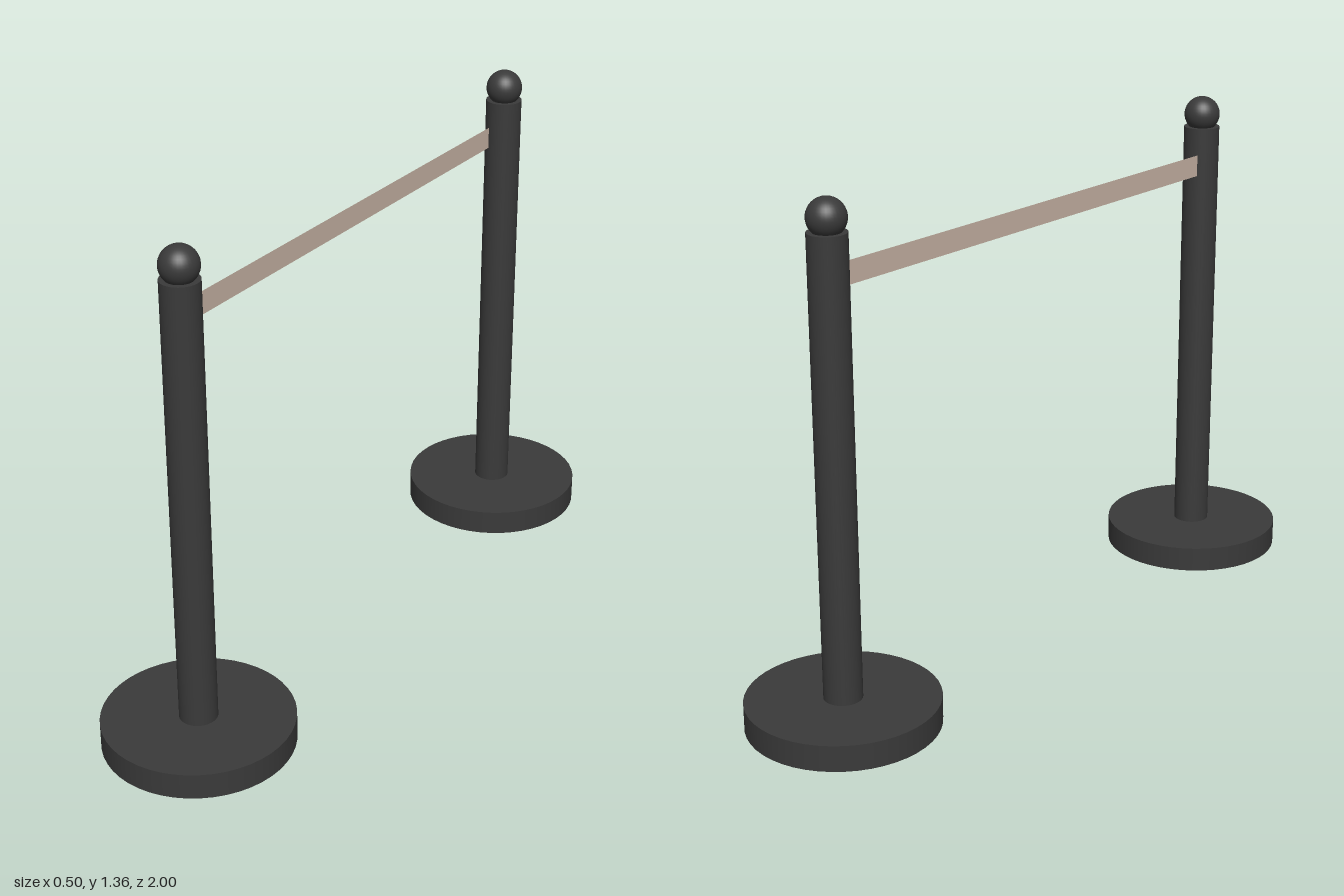
import * as THREE from 'three';

const POST_Z = 0.75;

function createPost(name, z, material) {
  const post = new THREE.Group();
  post.name = name;
  post.position.z = z;
  const add = (part, geometry, y) => {
    const mesh = new THREE.Mesh(geometry, material);
    mesh.name = part;
    mesh.position.y = y;
    post.add(mesh);
  };
  // Heavy disc, pole standing on it, ball sunk partly into the pole top
  add('base', new THREE.CylinderGeometry(0.25, 0.25, 0.07, 48), 0.035);
  add('pole', new THREE.CylinderGeometry(0.05, 0.05, 1.205, 32), 0.6725);
  add('ballCap', new THREE.SphereGeometry(0.05, 32, 20), 1.31);
  return post;
}

export function createModel() {
  const model = new THREE.Group();
  model.name = 'queueBarrier';

  const dark = new THREE.MeshStandardMaterial({ color: 0x3a3a3a });
  const tan = new THREE.MeshStandardMaterial({ color: 0xc8b4a5, side: THREE.DoubleSide });

  model.add(createPost('frontPost', POST_Z, dark), createPost('backPost', -POST_Z, dark));

  // Flat belt stretched between the poles, set slightly off their centre line
  const belt = new THREE.Mesh(new THREE.PlaneGeometry(1.42, 0.06), tan);
  belt.name = 'belt';
  belt.rotation.y = Math.PI / 2;
  belt.position.set(-0.02, 1.17, 0);
  model.add(belt);

  return model;
}
